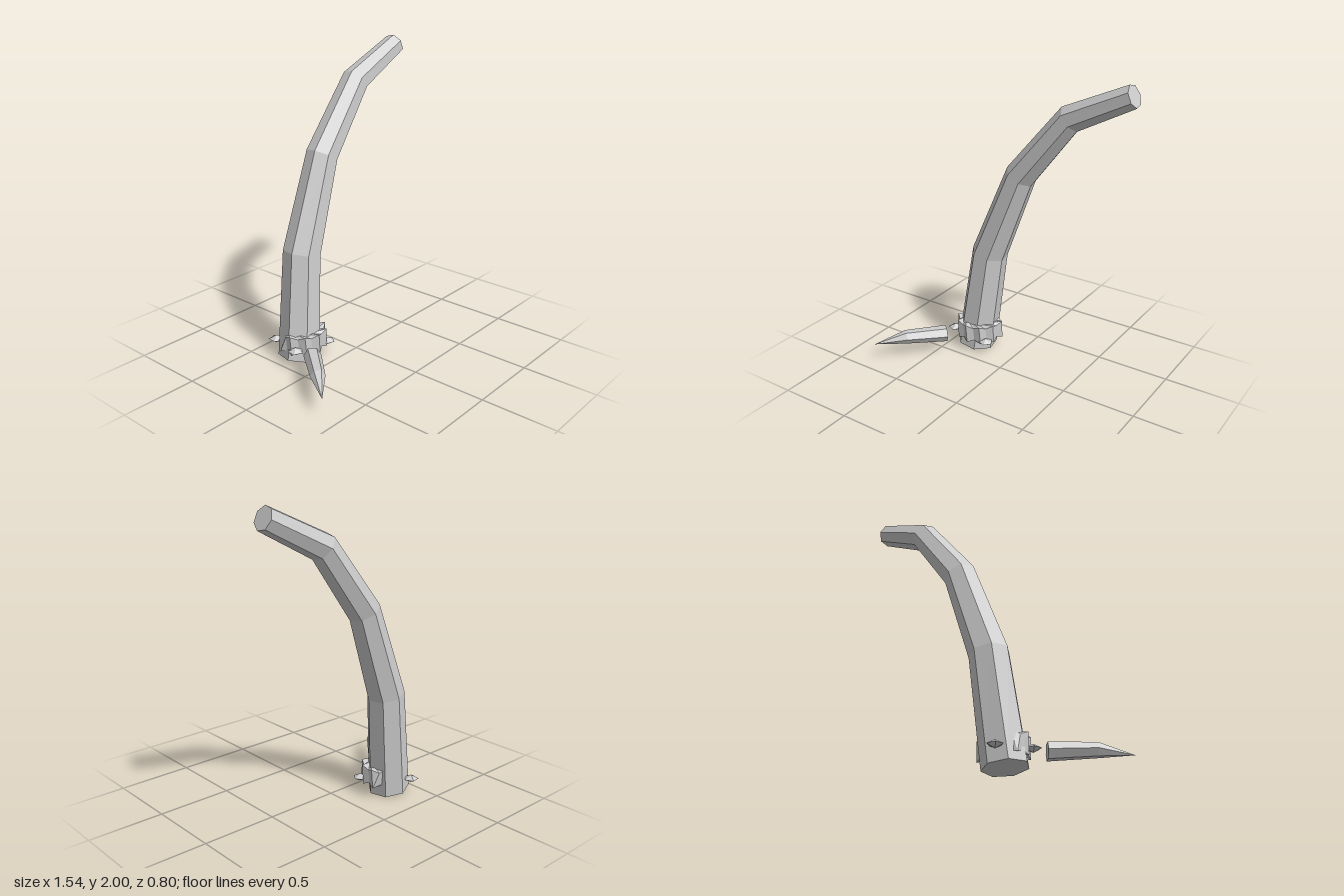
import * as THREE from 'three';

const V = (x, y, z) => new THREE.Vector3(x, y, z);
const rad = THREE.MathUtils.degToRad;

// Flat-shaded geometry from rows of points; neighbouring rows are joined by quads.
function fromTriangles(tris) {
  const g = new THREE.BufferGeometry().setFromPoints(tris);
  g.computeVertexNormals();
  return g;
}

// Faceted tube through sections { c: centre, r: radius, u, v: axes }, capped at both ends.
function loft(sections, sides, phase) {
  const rings = sections.map(({ c, r, u, v }) =>
    Array.from({ length: sides }, (_, k) => {
      const t = phase + (k / sides) * Math.PI * 2;
      return c.clone().addScaledVector(u, r * Math.cos(t)).addScaledVector(v, r * Math.sin(t));
    }));
  const tris = [];
  const last = sections.length - 1;
  for (let k = 0; k < sides; k++) {
    const n = (k + 1) % sides;
    for (let i = 0; i < last; i++) {
      const [a, b, c, d] = [rings[i][k], rings[i][n], rings[i + 1][n], rings[i + 1][k]];
      tris.push(a, b, c);
      if (sections[i + 1].r > 0) tris.push(a, c, d);
    }
    tris.push(sections[0].c, rings[0][n], rings[0][k]);
    if (sections[last].r > 0) tris.push(sections[last].c, rings[last][k], rings[last][n]);
  }
  return fromTriangles(tris);
}

// Jagged wrap around the front of the horn, buried in it at both ends.
function wrapGeometry() {
  const cols = 14, from = rad(-38), to = rad(205);
  const step = (to - from) / cols;
  const at = (phi, r, y) => V(-0.307 + r * Math.cos(phi), y, -0.21 + r * Math.sin(phi));
  const columns = [];
  for (let i = 0; i <= cols; i++) {
    const phi = from + i * step, odd = i % 2, end = i === 0 || i === cols;
    const low = end ? 0.115 : odd ? 0.165 : 0.146;
    const high = end ? 0.115 : odd ? 0.146 : 0.167;
    columns.push([
      at(phi, 0.11, 0.1),
      at(phi + step * 0.4, low, odd ? 0.08 : 0.1),
      at(phi - step * 0.4, high, odd ? 0.19 : 0.21),
      at(phi, 0.11, 0.205),
    ]);
  }
  const tris = [];
  for (let i = 0; i < cols; i++) {
    for (let r = 0; r < 3; r++) {
      const [a, b, c, d] = [columns[i][r], columns[i][r + 1], columns[i + 1][r + 1], columns[i + 1][r]];
      tris.push(a, b, c, a, c, d);
    }
  }
  return fromTriangles(tris);
}

export function createModel() {
  const group = new THREE.Group();
  const grey = new THREE.MeshStandardMaterial({ color: 0xcccccc, flatShading: true });
  grey.name = 'grey';
  const add = (name, geometry) => {
    const mesh = new THREE.Mesh(geometry, grey);
    mesh.name = name;
    group.add(mesh);
    return mesh;
  };

  // Curved seven-sided horn: x, y, z, radius, tilt in degrees
  const hornSections = [
    [-0.335, 0.021, -0.208, 0.139, -7.4],
    [-0.25, 0.715, -0.247, 0.125, -11.8],
    [-0.02, 1.31, -0.273, 0.106, -29],
    [0.325, 1.74, -0.289, 0.092, -52],
    [0.737, 1.935, -0.289, 0.074, -67],
  ].map(([x, y, z, r, tilt]) => ({
    c: V(x, y, z), r, u: V(Math.cos(rad(tilt)), Math.sin(rad(tilt)), 0), v: V(0, 0, -1),
  }));
  add('horn', loft(hornSections, 7, rad(-13.8)));

  // Jagged wrap near the foot of the horn
  add('wrap', wrapGeometry());

  // Detached six-sided spike
  const u = V(0.765, 0, 0.645), v = V(0, 1, 0);
  add('spike', loft([
    { c: V(-0.445, 0.139, 0.015), r: 0.057, u, v },
    { c: V(-0.63, 0.155, 0.235), r: 0.047, u, v },
    { c: V(-0.77, 0.13, 0.4), r: 0, u, v },
  ], 6, 0));

  // Flat five-sided studs around the wrap
  [[-0.4, 0.112, -0.355], [-0.46, 0.125, -0.118], [-0.183, 0.1, -0.095]].forEach(([x, y, z], i) => {
    const stud = add('stud' + (i + 1), new THREE.SphereGeometry(1, 5, 2));
    stud.scale.set(0.05, 0.026, 0.05);
    stud.rotation.y = 0.5 + i * 1.3;
    stud.position.set(x, y, z);
  });
  return group;
}
